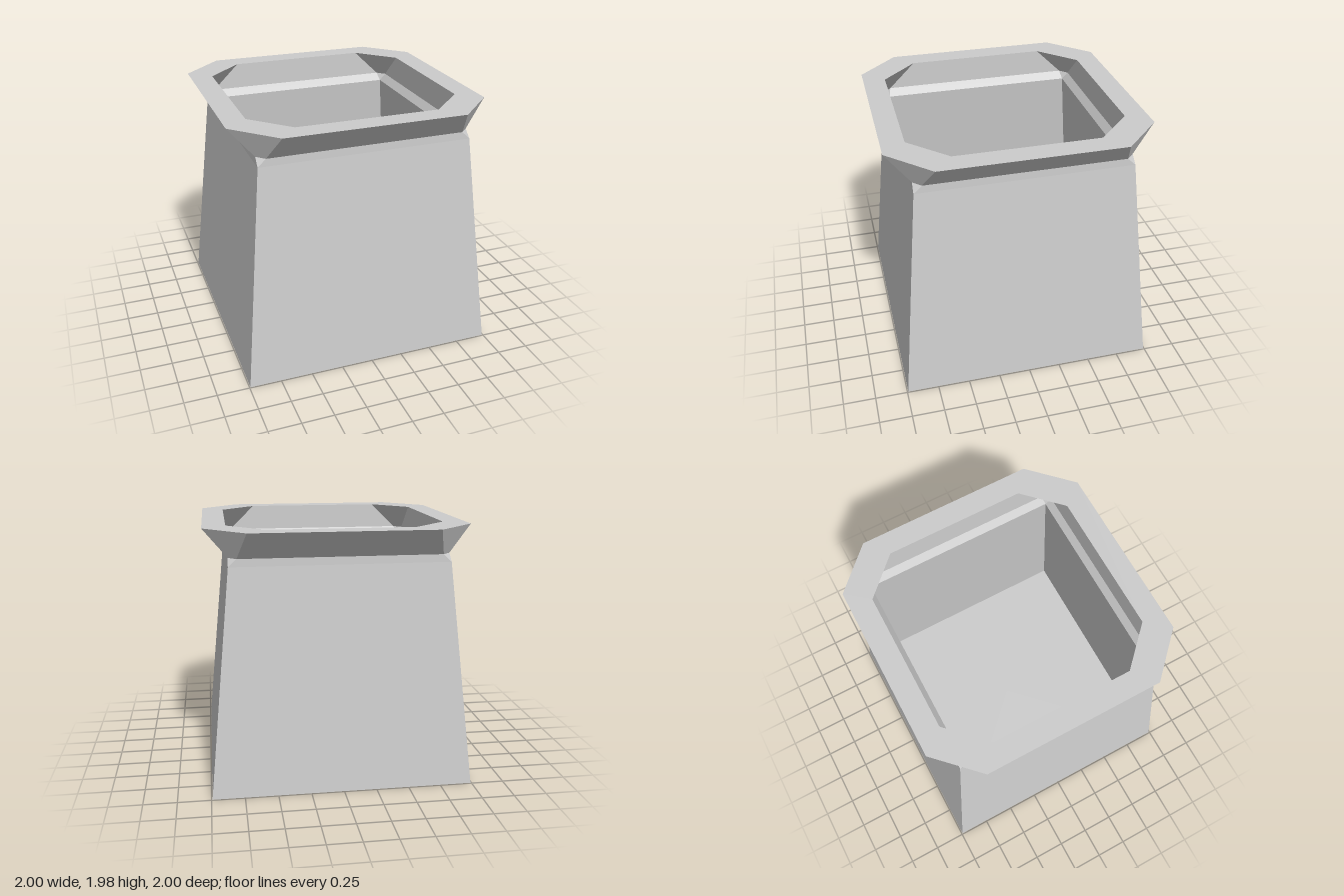
import * as THREE from 'three';

const clay = new THREE.MeshStandardMaterial({ color: 0xcccccc });
clay.name = 'light grey clay';

// Square with cut corners: half = distance to the sides, cut = where each side ends
function ring([half, cut, y]) {
  return [
    [half, -cut], [half, cut], [cut, half], [-cut, half],
    [-half, cut], [-half, -cut], [-cut, -half], [cut, -half],
  ].map(([x, z]) => new THREE.Vector3(x, y, z));
}

// Flat-faced skin through successive rings
function loft(name, sections) {
  const rings = sections.map(ring);
  const points = [];
  const triangle = (a, b, c) => {
    const area = b.clone().sub(a).cross(c.clone().sub(a)).length();
    if (area > 1e-6) points.push(a, b, c);
  };
  for (let r = 0; r + 1 < rings.length; r++) {
    for (let i = 0; i < 8; i++) {
      const j = (i + 1) % 8;
      const [low, high] = [rings[r], rings[r + 1]];
      triangle(low[i], high[i], high[j]);
      triangle(low[i], high[j], low[j]);
    }
  }
  const geometry = new THREE.BufferGeometry().setFromPoints(points);
  geometry.computeVertexNormals();
  const mesh = new THREE.Mesh(geometry, clay);
  mesh.name = name;
  return mesh;
}

export function createModel() {
  const pot = new THREE.Group();
  pot.name = 'pot';

  const neck = [0.82, 0.76, 1.77];

  // Underside, tapered walls and chamfered shoulder
  pot.add(loft('outerBody', [[0, 0, 0], [0.993, 0.993, 0], [0.822, 0.822, 1.712], neck]));

  // Flared rim with cut corners and a flat top
  pot.add(loft('rim', [neck, [1, 0.69, 1.975], [0.825, 0.547, 1.975], neck]));

  // Sloping inner ledge, inner walls and floor
  pot.add(loft('innerBody', [neck, [0.775, 0.775, 1.712], [0.94, 0.94, 0.05], [0, 0, 0.05]]));

  return pot;
}
